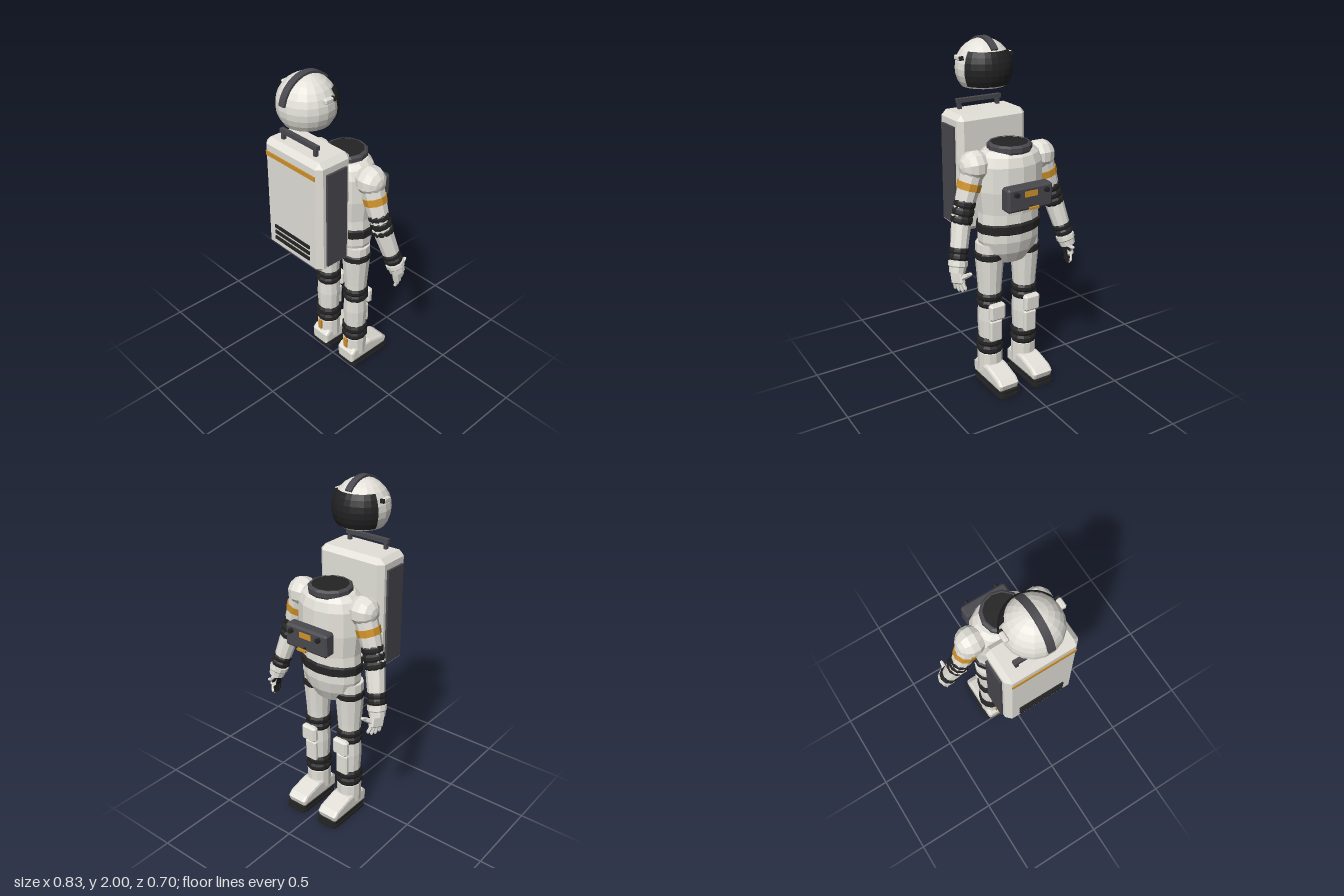
import * as THREE from 'three';
import { ConvexGeometry } from 'three/addons/geometries/ConvexGeometry.js';

const mat = (name, color, side = THREE.FrontSide) => {
  const m = new THREE.MeshStandardMaterial({ color, side });
  m.name = name;
  return m;
};

const V = (x, y, z) => new THREE.Vector3(x, y, z);

export function createModel() {
  const white = mat('suitWhite', 0xe2e0d8);
  const shellWhite = mat('helmetWhite', 0xe2e0d8, THREE.DoubleSide);
  const black = mat('rubberBlack', 0x242425);
  const grey = mat('darkGrey', 0x48484e);
  const orange = mat('orange', 0xd0922a);
  const root = new THREE.Group();
  root.name = 'astronaut';

  // Faceted mesh
  function add(parent, name, geo, material, x = 0, y = 0, z = 0) {
    const g = geo.index ? geo.toNonIndexed() : geo;
    g.computeVertexNormals();
    const m = new THREE.Mesh(g, material);
    m.name = name;
    m.position.set(x, y, z);
    parent.add(m);
    return m;
  }
  const box = (parent, name, w, h, d, material, x, y, z) =>
    add(parent, name, new THREE.BoxGeometry(w, h, d), material, x, y, z);

  // Box with all edges cut at 45 degrees
  function chamferBox(parent, name, w, h, d, c, material, x, y, z) {
    const pts = [];
    for (const i of [-1, 1]) for (const j of [-1, 1]) for (const k of [-1, 1]) {
      const a = i * w / 2, b = j * h / 2, e = k * d / 2;
      pts.push(V(a, b - j * c, e - k * c), V(a - i * c, b, e - k * c), V(a - i * c, b - j * c, e));
    }
    return add(parent, name, new ConvexGeometry(pts), material, x, y, z);
  }

  // Turned body, profile given as [radius, y] from bottom to top
  const lathe = (profile, sides) =>
    new THREE.LatheGeometry(profile.map(([r, y]) => new THREE.Vector2(r, y)), sides);

  // Turned part whose axis runs from a to b; profile is [radius, fraction along]
  function limb(parent, name, a, b, profile, material, sides = 10) {
    const len = a.distanceTo(b);
    const m = add(parent, name, lathe(profile.map(([r, t]) => [r, t * len]), sides), material);
    m.position.copy(a);
    m.quaternion.setFromUnitVectors(V(0, 1, 0), b.clone().sub(a).normalize());
    return m;
  }
  const tube = (r0, r1) => [[0, 0], [r0, 0], [r1, 1], [0, 1]];
  function bellows(r, n) {
    const p = [[0, 0]];
    for (let i = 0; i < n; i++)
      p.push([r * 0.89, i / n], [r, (i + 0.3) / n], [r, (i + 0.7) / n], [r * 0.89, (i + 1) / n]);
    p.push([0, 1]);
    return p;
  }

  // Torso, pelvis, belt and collar
  const bodyZ = -0.09;
  add(root, 'torso', lathe([[0, 1.09], [0.19, 1.09], [0.205, 1.22], [0.2, 1.36],
    [0.178, 1.41], [0.145, 1.437], [0, 1.44]], 14), white, 0, 0, bodyZ).scale.z = 0.755;
  add(root, 'pelvis', lathe([[0, 0.775], [0.11, 0.78], [0.165, 0.85], [0.19, 0.92],
    [0.19, 1.0], [0.185, 1.1]], 14), white, 0, 0, bodyZ).scale.z = 0.67;
  add(root, 'belt', lathe([[0.18, 0.965], [0.2, 0.975], [0.2, 1.02], [0.18, 1.03]], 14),
    black, 0, 0, bodyZ).scale.z = 0.7;
  add(root, 'collar', lathe([[0.12, 1.425], [0.125, 1.435], [0.125, 1.46], [0.113, 1.47],
    [0.105, 1.47]], 12), grey, 0, 0, -0.097);
  add(root, 'neckOpening', new THREE.CylinderGeometry(0.107, 0.107, 0.03, 12), black, 0, 1.453, -0.097);

  // Chest control box
  const chest = new THREE.Group();
  chest.name = 'chestControls';
  root.add(chest);
  chamferBox(chest, 'controlBox', 0.285, 0.135, 0.075, 0.012, grey, 0, 1.208, -0.277);
  for (const s of [-1, 1])
    add(chest, 'knob', new THREE.CylinderGeometry(0.014, 0.014, 0.025, 10), black,
      s * 0.095, 1.243, -0.322).rotation.x = Math.PI / 2;
  box(chest, 'label', 0.08, 0.032, 0.006, orange, 0, 1.235, -0.316);
  box(chest, 'leverStem', 0.01, 0.01, 0.03, black, 0, 1.164, -0.327);
  box(chest, 'leverGrip', 0.06, 0.014, 0.012, orange, 0, 1.164, -0.345);

  // Life support pack
  const pack = new THREE.Group();
  pack.name = 'backpack';
  root.add(pack);
  chamferBox(pack, 'packBody', 0.44, 0.68, 0.236, 0.03, white, 0, 1.256, 0.182);
  box(pack, 'packStripe', 0.385, 0.026, 0.006, orange, 0, 1.513, 0.302);
  for (let i = 0; i < 3; i++)
    box(pack, 'vent', 0.285, 0.02, 0.009, black, 0, 0.99 + i * 0.038, 0.303);
  for (const s of [-1, 1]) {
    box(pack, 'sidePanel', 0.016, 0.57, 0.138, grey, s * 0.225, 1.245, 0.182);
    box(pack, 'handlePost', 0.02, 0.055, 0.022, grey, s * 0.125, 1.612, 0.233);
  }
  box(pack, 'handleBar', 0.285, 0.024, 0.026, grey, 0, 1.643, 0.233);

  // Floating helmet, open underneath, visor towards -z
  const helmet = new THREE.Group();
  helmet.name = 'helmet';
  helmet.position.set(0, 1.83, 0.177);
  root.add(helmet);
  add(helmet, 'helmetShell', new THREE.SphereGeometry(0.16, 18, 10, 0, Math.PI * 2, 0, 2.25), shellWhite);
  const visorArc = 2.36;
  const visor = new THREE.SphereGeometry(0.168, 10, 6, Math.PI * 1.5 - visorArc / 2, visorArc, 0.93, 1.2);
  const visorMat = mat('visorBlack', 0x222224, THREE.DoubleSide);
  add(helmet, 'visor', visor, visorMat);
  // Crest band over the crown
  const crest = new THREE.Shape();
  const a0 = 0.18, a1 = 2.42;
  crest.absarc(0, 0, 0.17, a0, a1, false);
  crest.absarc(0, 0, 0.155, a1, a0, true);
  const crestGeo = new THREE.ExtrudeGeometry(crest, { depth: 0.04, bevelEnabled: false, curveSegments: 12 });
  crestGeo.translate(0, 0, -0.02);
  crestGeo.rotateY(-Math.PI / 2);
  add(helmet, 'crest', crestGeo, grey);
  for (const s of [-1, 1]) {
    chamferBox(helmet, 'lamp', 0.028, 0.028, 0.056, 0.006, white, s * 0.157, 0.064, -0.002);
    box(helmet, 'lampLens', 0.024, 0.022, 0.012, black, s * 0.157, 0.064, -0.035);
  }

  // Boot side outline: x is forward, y is up
  const bootShape = new THREE.Shape([[-0.065, 0.055], [0.20, 0.055], [0.205, 0.07], [0.185, 0.088],
    [0.075, 0.118], [-0.05, 0.118], [-0.067, 0.1]].map(([x, y]) => new THREE.Vector2(x, y)));
  const soleShape = (r) => {
    const p = [];
    for (const [cx, cy, q] of [[0.205, 0.045, 0], [-0.05, 0.045, 1], [-0.05, -0.045, 2], [0.205, -0.045, 3]])
      for (let i = 0; i < 3; i++) {
        const t = (q + i / 2) * Math.PI / 2;
        p.push(new THREE.Vector2(cx + r * Math.cos(t), cy + r * Math.sin(t)));
      }
    return new THREE.Shape(p);
  };

  function makeArm(s) {
    const arm = new THREE.Group();
    arm.name = s > 0 ? 'leftArm' : 'rightArm';
    root.add(arm);
    const S = V(s * 0.215, 1.36, -0.08), E = V(s * 0.298, 1.1, -0.087), W = V(s * 0.372, 0.8, -0.157);
    const up = (t) => S.clone().lerp(E, t), low = (t) => E.clone().lerp(W, t);
    const ball = new THREE.SphereGeometry(0.087, 10, 7);
    ball.rotateZ(Math.PI / 2);
    add(arm, 'shoulder', ball, white, s * 0.212, 1.36, -0.08);
    limb(arm, 'upperArm', S, up(0.9), tube(0.07, 0.056), white);
    limb(arm, 'armBand', up(0.33), up(0.48), tube(0.07, 0.068), orange);
    limb(arm, 'elbowBellows', up(0.69), low(0.15), bellows(0.063, 3), black);
    limb(arm, 'forearm', E, W, tube(0.058, 0.044), white);
    limb(arm, 'wristBellows', low(0.56), low(0.78), bellows(0.055, 2), black);
    limb(arm, 'cuff', low(0.8), low(1.0), [[0, 0], [0.055, 0], [0.055, 0.4], [0.049, 0.5], [0.045, 1], [0, 1]], white);

    // Glove: white back, black palm and finger pads on the inner side
    const hand = new THREE.Group();
    hand.name = 'glove';
    hand.position.copy(W);
    hand.rotation.set(0.24, s * 0.3, 0);
    arm.add(hand);
    chamferBox(hand, 'palm', 0.038, 0.075, 0.084, 0.008, white, 0, -0.025, 0);
    box(hand, 'palmPad', 0.008, 0.062, 0.07, black, -s * 0.018, -0.028, 0);
    for (let i = 0; i < 4; i++) {
      const z = (i - 1.5) * 0.023, len = [0.04, 0.05, 0.048, 0.036][i];
      const a = V(0, -0.055, z * 0.9), b = V(-s * 0.01, -0.06 - len, z * 1.15);
      const tip = [[0, 0], [0.0115, 0], [0.011, 0.8], [0.007, 1], [0, 1]];
      limb(hand, 'finger', a, b, tip, white, 6);
      const pad = box(hand, 'fingerPad', 0.008, len * 0.9, 0.018, black, -s * 0.0145, -0.06 - len / 2, z * 1.03);
      pad.rotation.z = -s * 0.2;
    }
    limb(hand, 'thumb', V(0, -0.03, -0.03), V(-s * 0.008, -0.012, -0.078), tube(0.015, 0.013), white, 6);
    limb(hand, 'thumbTip', V(-s * 0.008, -0.012, -0.075), V(0, -0.002, -0.108),
      [[0, 0], [0.013, 0], [0.011, 0.75], [0.006, 1], [0, 1]], white, 6);
    box(hand, 'thumbPad', 0.006, 0.016, 0.045, black, -s * 0.018, -0.015, -0.07);
  }

  function makeLeg(s) {
    const leg = new THREE.Group();
    leg.name = s > 0 ? 'leftLeg' : 'rightLeg';
    leg.position.set(s * 0.118, 0, -0.076);
    root.add(leg);
    add(leg, 'thigh', lathe([[0, 0.56], [0.066, 0.56], [0.07, 0.63], [0.083, 0.8], [0.08, 0.9], [0, 0.9]], 12), white);
    add(leg, 'hipBand', lathe([[0.08, 0.8], [0.089, 0.81], [0.089, 0.84], [0.08, 0.85]], 12), black);
    limb(leg, 'kneeBellows', V(0, 0.503, 0), V(0, 0.592, 0), bellows(0.078, 2), black, 12);
    add(leg, 'shin', lathe([[0, 0.28], [0.066, 0.28], [0.073, 0.42], [0.068, 0.52], [0, 0.52]], 12), white);
    limb(leg, 'ankleBellows', V(0, 0.203, 0), V(0, 0.305, 0), bellows(0.08, 2), black, 12);
    add(leg, 'bootShaft', lathe([[0, 0.08], [0.074, 0.08], [0.074, 0.2], [0.07, 0.21], [0, 0.21]], 12), white);
    chamferBox(leg, 'kneePad', 0.105, 0.105, 0.045, 0.014, white, 0, 0.487, -0.08);
    chamferBox(leg, 'shinPlate', 0.08, 0.135, 0.03, 0.008, white, 0, 0.358, -0.066);
    box(leg, 'heelTab', 0.025, 0.066, 0.014, orange, 0, 0.168, 0.075);

    // Boot and two-layer sole
    const boot = new THREE.ExtrudeGeometry(bootShape,
      { depth: 0.1, bevelSize: 0.017, bevelThickness: 0.017, bevelSegments: 2 });
    boot.translate(0, 0, -0.05);
    boot.rotateY(Math.PI / 2);
    add(leg, 'boot', boot, white);
    for (const [r, y, h] of [[0.02, 0.016, 0.024], [0.026, 0, 0.018]]) {
      const sole = new THREE.ExtrudeGeometry(soleShape(r), { depth: h, bevelEnabled: false });
      sole.rotateX(-Math.PI / 2);
      sole.rotateY(Math.PI / 2);
      add(leg, 'sole', sole, black, 0, y, -0.004);
    }
  }

  for (const s of [-1, 1]) {
    makeArm(s);
    makeLeg(s);
  }
  return root;
}
